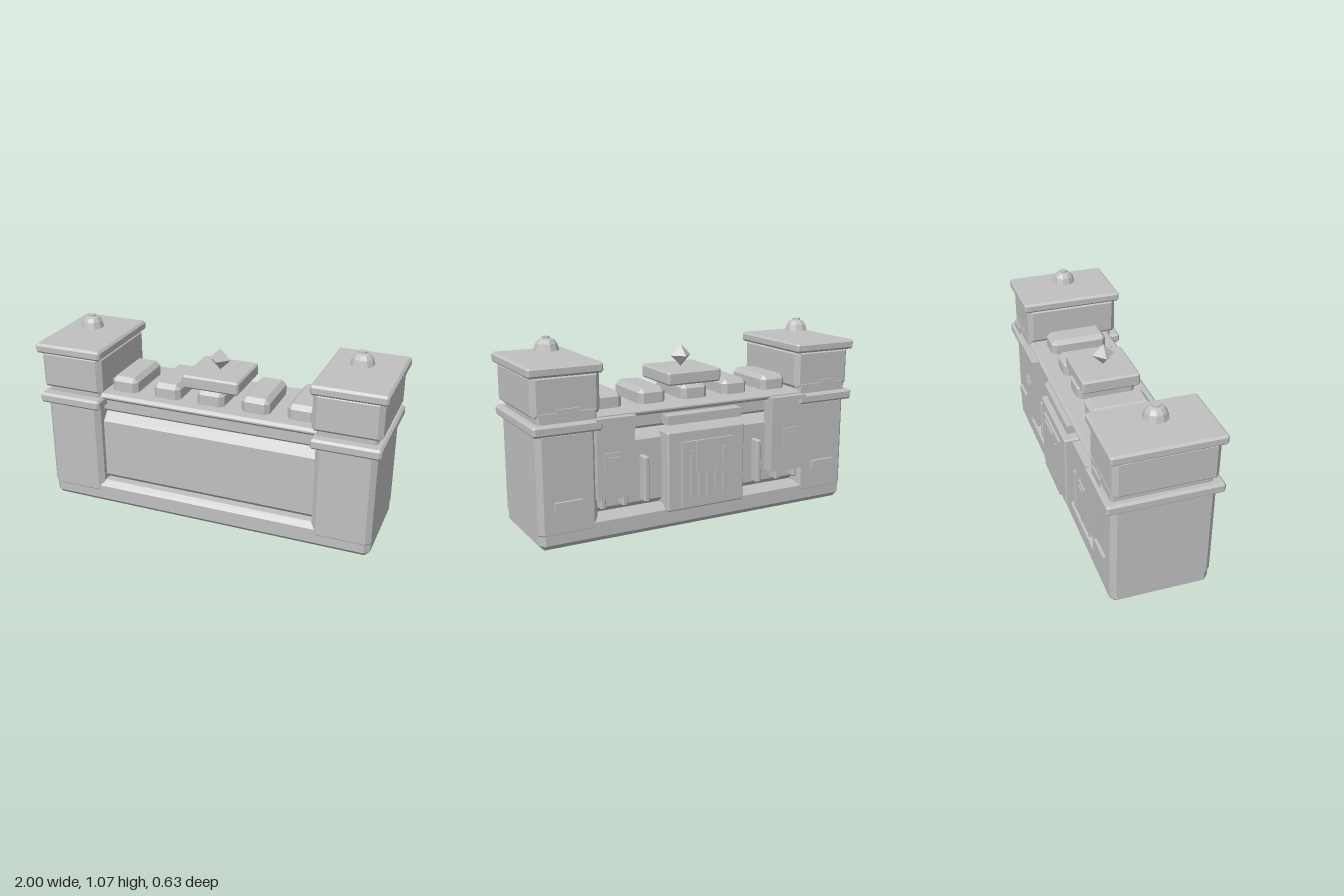
import * as THREE from 'three';
import { ConvexGeometry } from 'three/addons/geometries/ConvexGeometry.js';

const stone = new THREE.MeshStandardMaterial({ color: 0xc0c0c0, flatShading: true });
stone.name = 'grey stone';

function add(group, name, geometry) {
  const mesh = new THREE.Mesh(geometry, stone);
  mesh.name = name;
  group.add(mesh);
  return mesh;
}

// Box given by its limits, with chamfered edges: b upright, top and bottom bevels may differ
function chamferBox([x0, x1], [y0, y1], [z0, z1], b, top = b, bottom = b) {
  const pts = [];
  const rect = (y, ix, iz) => {
    for (const x of [x0 + ix, x1 - ix]) for (const z of [z0 + iz, z1 - iz]) pts.push(new THREE.Vector3(x, y, z));
  };
  rect(y0, bottom, bottom);
  for (const y of [y0 + bottom, y1 - top]) {
    rect(y, b, 0);
    rect(y, 0, b);
  }
  rect(y1, top, top);
  return new ConvexGeometry(pts);
}

function box([x0, x1], [y0, y1], [z0, z1]) {
  return new THREE.BoxGeometry(x1 - x0, y1 - y0, z1 - z0)
    .translate((x0 + x1) / 2, (y0 + y1) / 2, (z0 + z1) / 2);
}

// Limits on the x axis for a part on side s
const span = (s, a, b) => (s > 0 ? [a, b] : [-b, -a]);

function makeTower(s) {
  const g = new THREE.Group();
  g.name = s > 0 ? 'leftTower' : 'rightTower';
  add(g, 'towerShaft', chamferBox(span(s, 0.63, 0.96), [0.06, 0.63], [-0.26, 0.287], 0.028));
  add(g, 'towerBand', chamferBox(span(s, 0.61, 0.985), [0.61, 0.668], [-0.293, 0.318], 0.012));
  add(g, 'towerNeck', chamferBox(span(s, 0.63, 0.95), [0.65, 0.73], [-0.262, 0.26], 0.01));
  add(g, 'towerRoom', chamferBox(span(s, 0.605, 0.978), [0.7, 0.91], [-0.26, 0.287], 0.027, 0.015, 0.015));
  add(g, 'towerCap', chamferBox(span(s, 0.595, 0.998), [0.905, 0.96], [-0.28, 0.307], 0.012));
  add(g, 'upperPlate', box(span(s, 0.74, 0.86), [0.7, 0.745], [-0.291, -0.282]));
  add(g, 'lowerPlate', box(span(s, 0.725, 0.875), [0.205, 0.258], [-0.277, -0.25]));

  // Hovering dome with a small core through it
  const dome = [[0, 0.995], [0.067, 0.995], [0.056, 1.03], [0.04, 1.05], [0.022, 1.058], [0, 1.058]];
  add(g, 'dome', new THREE.LatheGeometry(dome.map((p) => new THREE.Vector2(...p)), 10))
    .position.set(s * 0.79, 0, 0.012);
  add(g, 'domeCore', new THREE.CylinderGeometry(0.023, 0.023, 0.076, 8))
    .position.set(s * 0.79, 1.028, 0.012);
  return g;
}

// Window bay and posts on the rear wall
function makeRearBay(s) {
  const g = new THREE.Group();
  g.name = s > 0 ? 'leftRearBay' : 'rightRearBay';
  add(g, 'bayPanel', box(span(s, 0.43, 0.645), [0.235, 0.65], [-0.283, -0.2]));
  add(g, 'bayLintel', box(span(s, 0.425, 0.65), [0.645, 0.67], [-0.295, -0.2]));
  add(g, 'windowFrame', box(span(s, 0.505, 0.605), [0.375, 0.485], [-0.291, -0.28]));
  add(g, 'windowPane', box(span(s, 0.525, 0.585), [0.397, 0.463], [-0.297, -0.29]));
  for (const x of [0.355, 0.485, 0.61]) {
    add(g, 'rearPost', chamferBox(span(s, x - 0.015, x + 0.015), [0.18, 0.43], [-0.27, -0.2], 0.006));
  }
  return g;
}

// Stepped rear entrance with a grille
function makeEntrance() {
  const g = new THREE.Group();
  g.name = 'rearEntrance';
  add(g, 'entranceSlab', chamferBox([-0.24, 0.24], [0.105, 0.55], [-0.287, -0.18], 0.008));
  add(g, 'entrancePanel', box([-0.16, 0.16], [0.12, 0.49], [-0.3, -0.28]));
  for (let i = -2; i <= 2; i++) {
    add(g, 'grilleBar', box([i * 0.05 - 0.008, i * 0.05 + 0.008], [0.17, 0.44], [-0.309, -0.295]));
  }
  add(g, 'entranceShield', box([-0.08, 0.08], [0.325, 0.495], [-0.317, -0.308]));
  add(g, 'entranceHeader', box([-0.23, 0.23], [0.585, 0.635], [-0.27, -0.18]));
  return g;
}

export function createModel() {
  const model = new THREE.Group();
  model.name = 'gatehouse';

  // Central hall
  add(model, 'base', chamferBox([-0.957, 0.957], [0, 0.142], [-0.258, 0.281], 0.03));
  add(model, 'wall', chamferBox([-0.7, 0.7], [0.14, 0.575], [-0.21, 0.232], 0.03, 0.062, 0.032));
  add(model, 'cornice', chamferBox([-0.7, 0.7], [0.57, 0.67], [-0.2, 0.215], 0.015));
  add(model, 'roof', chamferBox([-0.7, 0.7], [0.652, 0.69], [-0.252, 0.25], 0.015));

  // Roof blocks
  for (let i = -2; i <= 2; i++) {
    const x = i * 0.26;
    add(model, 'roofBlock', chamferBox([x - 0.08, x + 0.08], [0.65, 0.773], [-0.16, 0.175], 0.025));
  }
  add(model, 'centreSlab', chamferBox([-0.165, 0.165], [0.77, 0.845], [-0.158, 0.17], 0.01));
  add(model, 'crystal', new THREE.OctahedronGeometry(0.062)).position.set(0, 0.906, 0.01);

  // Mirrored sides
  for (const s of [1, -1]) model.add(makeTower(s), makeRearBay(s));
  model.add(makeEntrance());
  return model;
}
